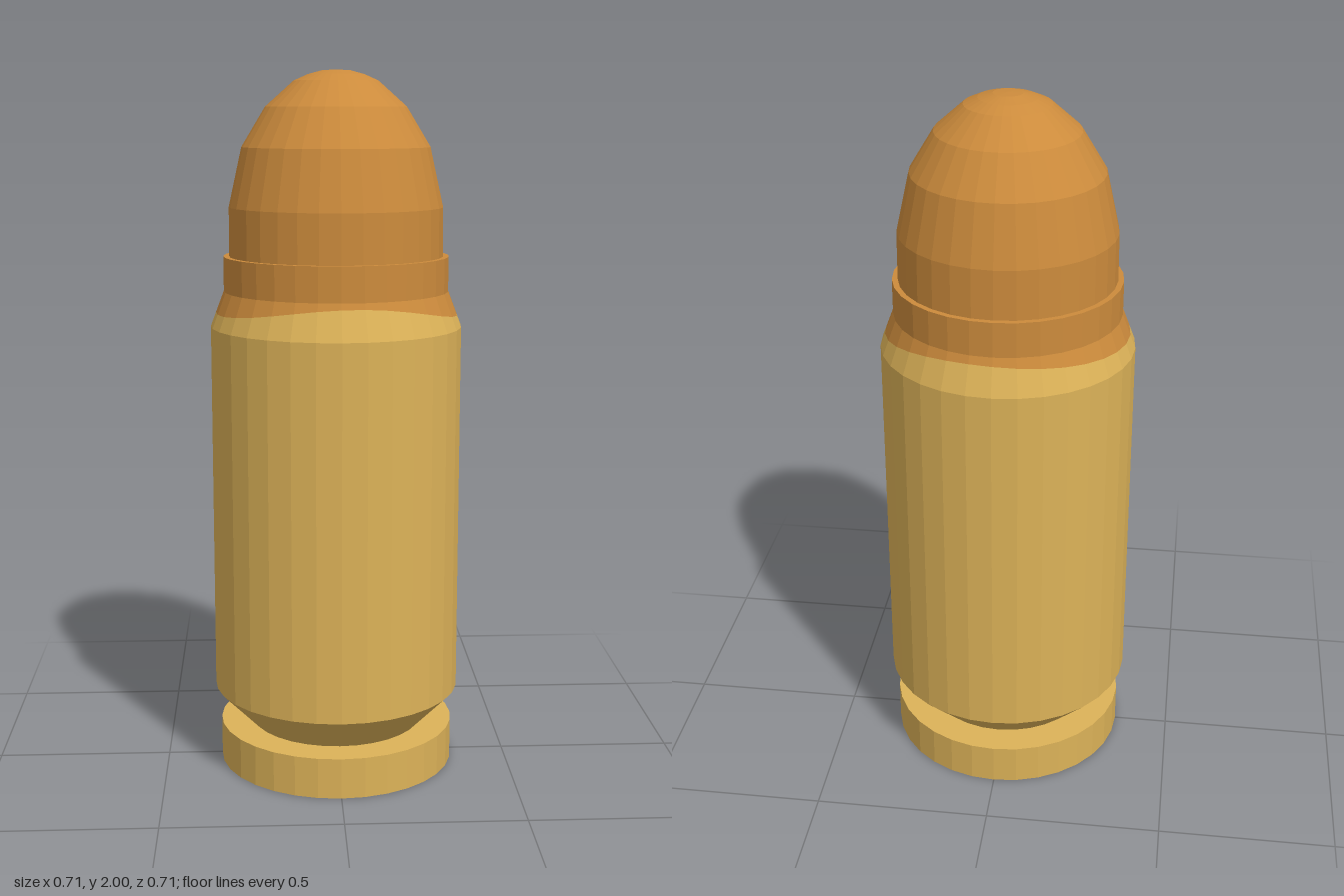
import * as THREE from 'three';

const SIDES = 32;
const brass = new THREE.MeshStandardMaterial({ color: 0xdcb258 });
brass.name = 'brass';
const copper = new THREE.MeshStandardMaterial({ color: 0xcc8b3c });
copper.name = 'copper';

// Shoulder cone, from the case wall up to the neck
const LOW = { r: 0.356, y: 1.29 };
const HIGH = { r: 0.318, y: 1.39 };

// Height of the wavy colour border around the shoulder: lower at the sides
function borderHeight(angle) {
  return 1.348 + 0.022 * Math.cos(2 * angle) + 0.005 * Math.sin(3 * angle + 0.6);
}

// Slides the vertices marked by the placeholder height onto the wavy border
function waveBorder(geometry, markY) {
  const p = geometry.attributes.position;
  for (let i = 0; i < p.count; i++) {
    if (Math.abs(p.getY(i) - markY) > 1e-5) continue;
    const a = Math.atan2(p.getX(i), p.getZ(i));
    const y = borderHeight(a);
    const r = THREE.MathUtils.mapLinear(y, LOW.y, HIGH.y, LOW.r, HIGH.r);
    p.setXYZ(i, Math.sin(a) * r, y, Math.cos(a) * r);
  }
}

// Faceted turned part from a [radius, height] profile, bottom to top
function turned(name, profile, material, markY) {
  const points = profile.map(([r, y]) => new THREE.Vector2(r, y));
  const lathe = new THREE.LatheGeometry(points, SIDES);
  if (markY !== undefined) waveBorder(lathe, markY);
  const geometry = lathe.toNonIndexed();
  geometry.computeVertexNormals();
  const mesh = new THREE.Mesh(geometry, material);
  mesh.name = name;
  return mesh;
}

export function createModel() {
  const group = new THREE.Group();
  group.name = 'cartridge';
  const mark = 1.345;

  group.add(
    // Flat rim with the extractor groove above it
    turned('rim', [[0, 0], [0.341, 0], [0.341, 0.117], [0.25, 0.117]], brass),
    turned('extractorGroove', [[0.25, 0.117], [0.357, 0.227]], brass),
    // Case wall and the lower part of the shoulder
    turned('caseWall', [[0.357, 0.227], [LOW.r, LOW.y], [0.337, mark]], brass, mark),
    // Upper shoulder, neck and its flat mouth
    turned('caseNeck', [[0.337, mark], [HIGH.r, HIGH.y], [0.318, 1.488], [0.3, 1.488]], copper, mark),
    // Rounded nose
    turned('bullet', [
      [0.302, 1.488], [0.301, 1.625], [0.264, 1.79], [0.197, 1.9],
      [0.118, 1.97], [0.08, 1.987], [0.04, 1.998], [0, 2],
    ], copper),
  );
  return group;
}
